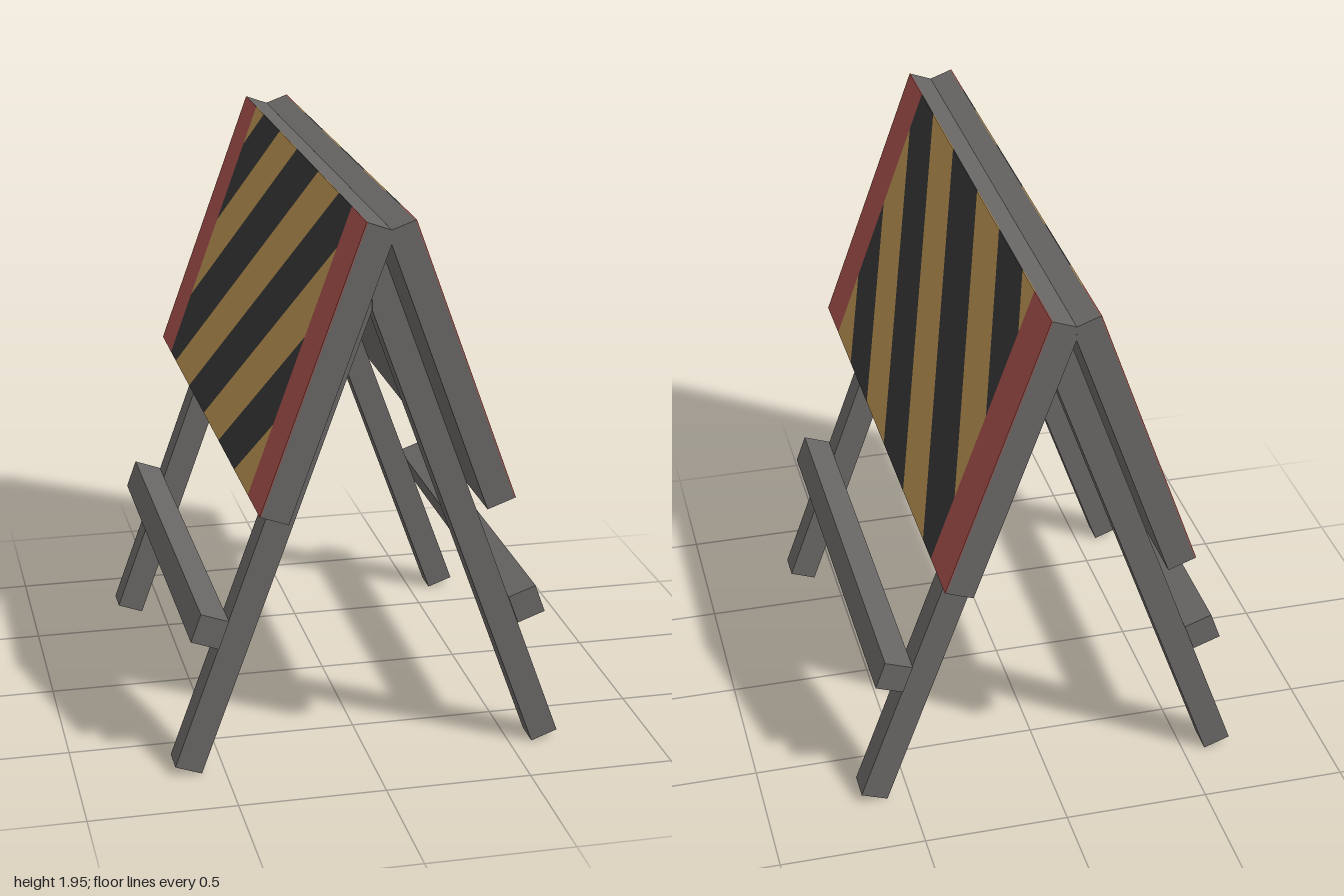
import * as THREE from 'three';

const TILT = THREE.MathUtils.degToRad(20);
const PLATE = 0.004;          // thickness of the painted plates
const BOTTOM = 0.805, TOP = 1.805; // sign board, measured along the slope
const FACE = 0.741;           // distance of the painted face from the tilt axis
const HALF = 0.795;           // half length of the striped area
const SLANT = 0.98;           // shift of a stripe from top to bottom

// Keeps the part of a convex polygon where sign * z <= limit
function clip(points, sign, limit) {
  const out = [];
  points.forEach((p, i) => {
    const q = points[(i + 1) % points.length];
    const dp = limit - sign * p[0], dq = limit - sign * q[0];
    if (dp >= 0) out.push(p);
    if (dp * dq < 0) {
      const t = dp / (dp - dq);
      out.push([p[0] + (q[0] - p[0]) * t, p[1] + (q[1] - p[1]) * t]);
    }
  });
  return out;
}

function toShape(points) {
  return new THREE.Shape(points.map(([x, y]) => new THREE.Vector2(x, y)));
}

export function createModel() {
  const material = (name, color) => {
    const m = new THREE.MeshStandardMaterial({ color });
    m.name = name;
    return m;
  };
  const grey = material('grey wood', 0x676664);
  const red = material('red paint', 0xa04e49);
  const yellow = material('yellow paint', 0xb38d4e);
  const black = material('black paint', 0x343434);

  const model = new THREE.Group();
  model.name = 'barricade';

  for (const side of [1, -1]) {
    const frame = new THREE.Group();
    frame.name = side > 0 ? 'leftFrame' : 'rightFrame';
    frame.rotation.z = side * TILT;
    model.add(frame);

    const add = (name, geometry, mat) => {
      const mesh = new THREE.Mesh(geometry, mat);
      mesh.name = name;
      frame.add(mesh);
    };
    // Profile across the slope, extruded along z
    const beam = (name, points, z0, z1) => {
      const shape = toShape(points.map(([x, y]) => [side * x, y]));
      const geometry = new THREE.ExtrudeGeometry(shape, { depth: z1 - z0, bevelEnabled: false });
      add(name, geometry.translate(0, 0, z0), grey);
    };
    // Thin painted plate on the outer face, drawn in (z, slope height)
    const plate = (name, points, mat) => {
      const geometry = new THREE.ExtrudeGeometry(toShape(points), { depth: PLATE, bevelEnabled: false });
      geometry.rotateY(-Math.PI / 2).translate(side * (FACE - PLATE / 2) + PLATE / 2, 0, 0);
      add(name, geometry, mat);
    };

    // Board and legs, mitred where the two frames meet
    const back = FACE - PLATE;
    beam('signBoard', [[0.641, BOTTOM], [back, BOTTOM], [back, TOP], [0.657, TOP], [0.641, 1.761]], -1, 1);
    for (const z of [-0.75, 0.65]) {
      beam('leg', [[0.545, -0.197], [0.641, -0.197], [0.641, 1.761], [0.545, 1.497]], z, z + 0.1);
    }
    beam('crossBar', [[0.641, 0.252], [FACE, 0.252], [FACE, 0.355], [0.641, 0.355]], -0.757, 0.757);

    // Red ends
    for (const [a, b] of [[-1, -HALF], [HALF, 1]]) {
      plate('redEnd', [[a, BOTTOM], [b, BOTTOM], [b, TOP], [a, TOP]], red);
    }

    // Diagonal stripes, given by where their edges cross the top
    const edges = [1.85, 1.53, 1.23, 0.93, 0.61, 0.3, -0.05, -0.35, -0.65, -0.95];
    for (let i = 0; i < edges.length - 1; i++) {
      const a = edges[i + 1], b = edges[i];
      let band = [[a - SLANT, BOTTOM], [b - SLANT, BOTTOM], [b, TOP], [a, TOP]];
      band = clip(clip(band, 1, HALF), -1, HALF);
      plate(i % 2 ? 'blackStripe' : 'yellowStripe', band, i % 2 ? black : yellow);
    }
  }
  return model;
}
